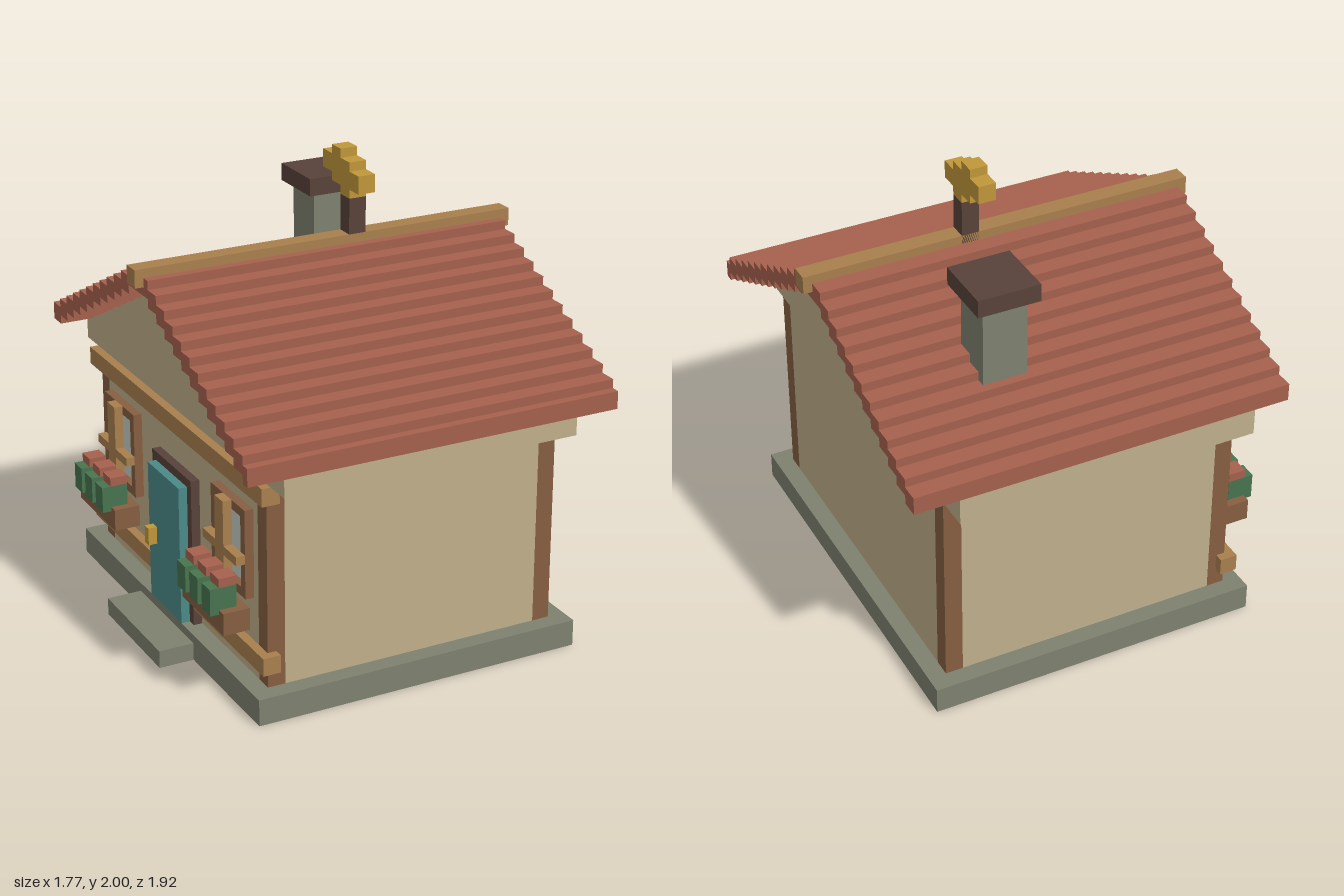
import * as THREE from 'three';

const V = 1 / 26; // one block of the building grid

const COLORS = {
  stone: 0x7e816f, plaster: 0xc0af8b, timber: 0x865f41, trim: 0xa97f4e, tile: 0xa5614d,
  darkWood: 0x57423a, gold: 0xc0963a, teal: 0x4a8a88, leaf: 0x48744f, glass: 0xc6cdc2,
};

export function createModel() {
  const house = new THREE.Group();
  house.name = 'house';
  const mats = {};
  for (const [name, color] of Object.entries(COLORS)) {
    mats[name] = new THREE.MeshStandardMaterial({ color });
    mats[name].name = name;
  }

  const add = (parent, name, geometry, mat) => {
    const mesh = new THREE.Mesh(geometry, mats[mat]);
    mesh.name = name;
    parent.add(mesh);
    return mesh;
  };
  // Box given by its min and max on each axis, in blocks
  const box = (name, mat, [x0, x1], [y0, y1], [z0, z1], parent = house) => {
    const g = new THREE.BoxGeometry((x1 - x0) * V, (y1 - y0) * V, (z1 - z0) * V);
    return add(parent, name, g, mat).position.set(
      (x0 + x1) / 2 * V, (y0 + y1) / 2 * V, (z0 + z1) / 2 * V);
  };
  // Outline of [z, y] points in blocks, extruded along x
  const extrudeX = (name, mat, points, x0, x1) => {
    const shape = new THREE.Shape(points.map(([z, y]) => new THREE.Vector2(-z * V, y * V)));
    const g = new THREE.ExtrudeGeometry(shape, { depth: (x1 - x0) * V, bevelEnabled: false });
    g.rotateY(Math.PI / 2);
    g.translate(x0 * V, 0, 0);
    add(house, name, g, mat);
  };

  // Base and door step
  box('foundation', 'stone', [-19, 19], [0, 3], [-23, 23]);
  box('doorStep', 'stone', [-23, -19], [0, 2], [-7, 7]);

  // Walls with flush corner posts
  box('wallsLong', 'plaster', [-17, 17], [3, 26], [-19, 19]);
  box('wallsShort', 'plaster', [-15, 15], [3, 26], [-21, 21]);
  for (const x of [-17, 15])
    for (const z of [-21, 19]) box('cornerPost', 'timber', [x, x + 2], [3, 26], [z, z + 2]);

  // Stepped roof over a stepped gable
  const stairs = [];
  for (let k = 0; k < 12; k++) stairs.push([-25 + 2 * k, 31 + k], [-23 + 2 * k, 31 + k]);
  for (let k = 11; k >= 0; k--) stairs.push([k === 11 ? -1 : 24 - 2 * k - 2, 31 + k], [24 - 2 * k, 31 + k]);
  stairs.push([24, 30], [25, 30]);
  // drop repeated points along the flat top
  const top = stairs.filter(([z, y], i) => !(i > 0 && stairs[i - 1][0] === z && stairs[i - 1][1] === y));
  const under = top.map(([z, y]) => [z, y - 2]);
  extrudeX('gable', 'plaster', [[25, 26], [-25, 26], ...under], -17, 17);
  extrudeX('roofTiles', 'tile', [...top, ...under.slice().reverse()], -21, 22);
  box('ridgeBeam', 'trim', [-22, 23], [41, 43], [-1, 1]);

  // Chimney
  box('chimneyStack', 'stone', [5, 10], [33, 44], [-16, -11]);
  box('chimneyCap', 'darkWood', [4, 11], [44, 46], [-17, -10]);

  // Weather vane
  const vane = new THREE.Group();
  vane.name = 'weatherVane';
  house.add(vane);
  box('vanePost', 'darkWood', [3, 5], [42, 47], [-1, 1], vane);
  for (const [z, y0, y1] of [[1, 48, 50], [-1, 47, 51], [-3, 48, 52], [-5, 49, 51]])
    box('vaneBlock', 'gold', [3, 5], [y0, y1], [z, z + 2], vane);

  // Trim beams on the door side
  box('upperBeam', 'trim', [-18, -16], [24, 26], [-22, 22]);
  for (const z of [[-22, -5], [5, 22]]) box('lowerBeam', 'trim', [-18, -16], [5, 7], z);

  // Door
  box('doorFrame', 'darkWood', [-18, -17], [3, 20], [-5, 5]);
  box('door', 'teal', [-19, -18], [3, 19], [-4, 4]);
  box('doorKnob', 'gold', [-20, -19], [10, 12], [-3, -2]);

  // Windows with flower boxes, one each side of the door
  for (const c of [-14, 14]) {
    const win = new THREE.Group();
    win.name = 'window';
    house.add(win);
    const part = (name, mat, x, y, z0, z1) => box(name, mat, x, y, [c + z0, c + z1], win);
    part('glass', 'glass', [-17.2, -17], [13, 21], -3, 3);
    for (const s of [-4, 3]) part('frameSide', 'timber', [-18, -17], [12, 22], s, s + 1);
    for (const y of [12, 21]) part('frameRail', 'timber', [-18, -17], [y, y + 1], -3, 3);
    part('verticalBar', 'trim', [-19, -18], [12, 22], -1, 1);
    for (const s of [-4, 1]) part('crossBar', 'trim', [-19, -18], [16, 17], s, s + 3);
    part('flowerBox', 'timber', [-21, -18], [9, 11.5], -5, 5);
    for (const s of [-4, -1, 2]) {
      part('leaves', 'leaf', [-22, -19], [11, 14], s, s + 2);
      part('flower', 'tile', [-21, -19], [14, 15], s, s + 2);
    }
  }
  return house;
}
